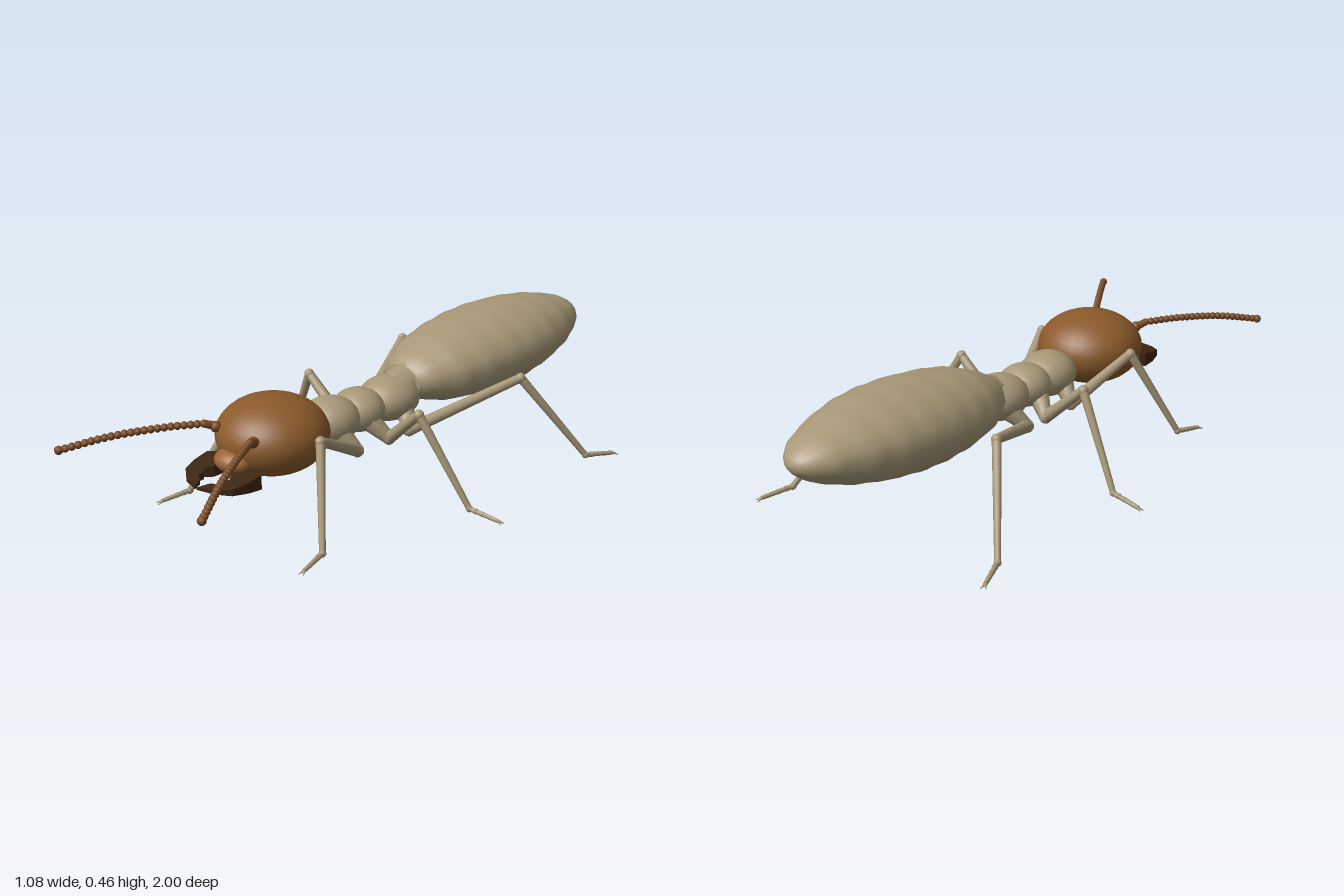
import * as THREE from 'three';

const makeMaterial = (name, color, side = THREE.FrontSide) =>
  Object.assign(new THREE.MeshStandardMaterial({ color, side }), { name });

export function createModel() {
  const tan = makeMaterial('bodyTan', 0xa89878);
  const brown = makeMaterial('headBrown', 0x8b5a2b);
  const rust = makeMaterial('antennaBrown', 0x7a4a22);
  const dark = makeMaterial('mandibleDark', 0x3d2512);
  const light = makeMaterial('lipBrown', 0x986535);
  const model = new THREE.Group();
  model.name = 'insect';
  const V = (p) => new THREE.Vector3(...p);

  const add = (parent, name, geometry, material) => {
    const mesh = new THREE.Mesh(geometry, material);
    mesh.name = name;
    parent.add(mesh);
    return mesh;
  };
  const ball = (parent, name, material, pos, size, w = 20, h = 14) => {
    const mesh = add(parent, name, new THREE.SphereGeometry(1, w, h), material);
    mesh.position.set(...pos);
    mesh.scale.set(...size);
    return mesh;
  };
  // Tapered rod from a to b
  const rod = (parent, name, material, a, b, ra, rb) => {
    const start = V(a), dir = V(b).sub(start);
    const mesh = add(parent, name, new THREE.CylinderGeometry(rb, ra, dir.length(), 8), material);
    mesh.position.copy(start).addScaledVector(dir, 0.5);
    mesh.quaternion.setFromUnitVectors(new THREE.Vector3(0, 1, 0), dir.normalize());
    return mesh;
  };

  // Abdomen: a squashed lathe with faint segment swellings, tilted up to the tail
  const outline = [[0, 0.072], [0.03, 0.105], [0.08, 0.137], [0.16, 0.17], [0.26, 0.19], [0.38, 0.2],
    [0.5, 0.194], [0.6, 0.175], [0.69, 0.146], [0.77, 0.108], [0.82, 0.072], [0.85, 0.034], [0.86, 0]];
  const curve = new THREE.SplineCurve(outline.map(([d, r]) => new THREE.Vector2(r, d)));
  const profile = curve.getPoints(48).map((p) => new THREE.Vector2(
    Math.max(0, p.x * (1 + 0.012 * Math.sin(p.y / 0.86 * Math.PI * 16))), p.y));
  profile[profile.length - 1].x = 0;
  profile.unshift(new THREE.Vector2(0, 0));
  const abdomen = add(model, 'abdomen',
    new THREE.LatheGeometry(profile, 16).scale(1, 1, 0.67).rotateX(-Math.PI / 2), tan);
  abdomen.position.set(0, 0.306, -0.14);
  abdomen.rotation.x = 0.055;

  // Thorax: three overlapping segments and a waist
  ball(model, 'frontThorax', tan, [0, 0.264, 0.19], [0.095, 0.075, 0.1]);
  ball(model, 'middleThorax', tan, [0, 0.262, 0.065], [0.09, 0.071, 0.088]);
  ball(model, 'rearThorax', tan, [0, 0.264, -0.075], [0.097, 0.074, 0.11]);
  rod(model, 'waist', tan, [0, 0.268, -0.08], [0, 0.303, -0.18], 0.065, 0.07);

  // Head and lip
  ball(model, 'head', brown, [0, 0.291, 0.432], [0.178, 0.122, 0.178], 28, 20);
  ball(model, 'lip', light, [0, 0.249, 0.59], [0.067, 0.038, 0.055]);

  // Legs: trochanter, knee, ankle and toe for each pair, given for the left side
  const legs = {
    front: { root: [0.06, 0.235, 0.2], hip: [0.108, 0.185, 0.175], knee: [0.185, 0.31, 0.405],
      ankle: [0.31, 0.022, 0.52], toe: [0.335, 0.008, 0.625] },
    middle: { root: [0.06, 0.235, 0.065], hip: [0.11, 0.185, 0.035], knee: [0.25, 0.31, 0.045],
      ankle: [0.415, 0.022, -0.015], toe: [0.53, 0.008, -0.033] },
    hind: { root: [0.06, 0.235, -0.09], hip: [0.108, 0.185, -0.06], knee: [0.27, 0.31, -0.42],
      ankle: [0.415, 0.022, -0.6], toe: [0.455, 0.008, -0.712] },
  };

  // Mandible outline seen from above: x, z
  const jaw = [[0.07, 0.55], [0.125, 0.59], [0.123, 0.64], [0.108, 0.69], [0.065, 0.722], [0.004, 0.74],
    [0.022, 0.705], [0.042, 0.695], [0.045, 0.672], [0.06, 0.66], [0.04, 0.635], [0.05, 0.58]];

  for (const s of [1, -1]) {
    const side = s > 0 ? 'left' : 'right';
    const M = (p) => [p[0] * s, p[1], p[2]];

    for (const [pair, l] of Object.entries(legs)) {
      const leg = new THREE.Group();
      leg.name = `${side} ${pair} leg`;
      model.add(leg);
      const [root, hip, knee, ankle, toe] = [l.root, l.hip, l.knee, l.ankle, l.toe].map(M);
      rod(leg, 'coxa', tan, root, hip, 0.034, 0.021);
      ball(leg, 'hipJoint', tan, hip, [0.022, 0.022, 0.022], 10, 8);
      rod(leg, 'femur', tan, hip, knee, 0.021, 0.015);
      ball(leg, 'kneeJoint', tan, knee, [0.017, 0.017, 0.017], 10, 8);
      rod(leg, 'tibia', tan, knee, ankle, 0.015, 0.01);
      ball(leg, 'ankleJoint', tan, ankle, [0.012, 0.012, 0.012], 8, 6);

      // Jointed foot with a pair of claws
      const at = (t) => V(ankle).lerp(V(toe), t).toArray();
      for (let i = 0; i < 4; i++) {
        rod(leg, 'footSegment', tan, at(i * 0.23), at((i + 1) * 0.23), 0.0075, 0.0095 - i * 0.001);
      }
      const along = V(toe).sub(V(ankle)).normalize();
      for (const c of [1, -1]) {
        const tip = V(toe).addScaledVector(along, 0.008);
        tip.x += along.z * c * 0.009;
        tip.z -= along.x * c * 0.009;
        tip.y = 0.003;
        rod(leg, 'claw', tan, at(0.9), tip.toArray(), 0.005, 0.001);
      }
    }

    // Antenna: socket, scape and a string of beads
    const antenna = new THREE.Group();
    antenna.name = `${side} antenna`;
    model.add(antenna);
    ball(antenna, 'socket', rust, M([0.085, 0.332, 0.585]), [0.018, 0.018, 0.018], 10, 8);
    rod(antenna, 'scape', rust, M([0.083, 0.33, 0.575]), M([0.105, 0.345, 0.615]), 0.014, 0.012);
    const path = new THREE.CatmullRomCurve3([[0.105, 0.345, 0.615], [0.165, 0.345, 0.715],
      [0.25, 0.332, 0.855], [0.333, 0.302, 0.987]].map((p) => V(M(p))));
    const count = 22;
    add(antenna, 'flagellum', new THREE.TubeGeometry(path, 24, 0.008, 6), rust);
    for (let i = 0; i <= count; i++) {
      const r = i === count ? 0.014 : 0.0125;
      ball(antenna, 'bead', rust, path.getPointAt(i / count).toArray(), [r, r, r], 8, 6);
    }

    // Mandible: toothed plate thinning towards the tip
    const shape = new THREE.Shape(jaw.map(([x, z]) => new THREE.Vector2(x * s, z)));
    const plate = new THREE.ExtrudeGeometry(shape, { depth: 1, bevelEnabled: false }).rotateX(Math.PI / 2);
    const pos = plate.attributes.position;
    for (let i = 0; i < pos.count; i++) {
      const t = THREE.MathUtils.clamp((pos.getZ(i) - 0.58) / 0.16, 0, 1);
      pos.setY(i, 0.218 - 0.012 * t + (pos.getY(i) + 0.5) * (0.05 - 0.042 * t));
    }
    plate.computeVertexNormals();
    add(model, `${side} mandible`, plate, dark);
  }
  return model;
}
